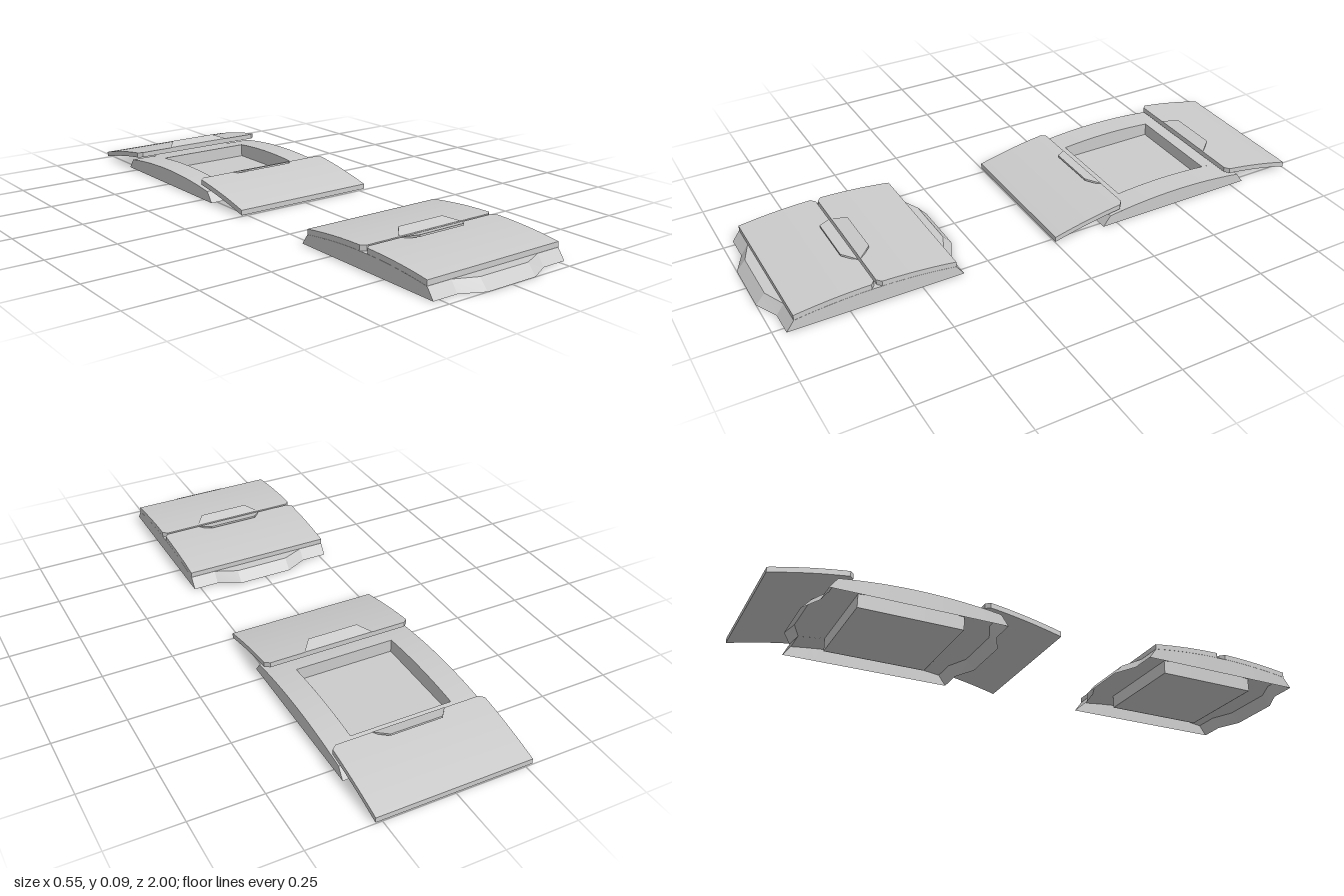
import * as THREE from 'three';
import { toCreasedNormals } from 'three/addons/utils/BufferGeometryUtils.js';

const W = 0.273;          // half width
const L = 0.278;          // half length of the curved deck
const T = 0.019;          // lid thickness
const TUB_X = 0.182, TUB_Z = 0.185;

const solid = new THREE.MeshStandardMaterial({ color: 0xcccccc });
const shell = new THREE.MeshStandardMaterial({ color: 0xcccccc, side: THREE.DoubleSide });

// Height of the arched deck at distance z from its middle
const arch = (z) => 0.057 - 0.02 * (z / L) ** 2;

function add(parent, name, geometry, material) {
  const mesh = new THREE.Mesh(toCreasedNormals(geometry, 0.3), material);
  mesh.name = name;
  parent.add(mesh);
  return mesh;
}

function moveVertices(geometry, rule) {
  const p = geometry.attributes.position;
  const v = new THREE.Vector3();
  for (let i = 0; i < p.count; i++) {
    rule(v.fromBufferAttribute(p, i));
    p.setXYZ(i, v.x, v.y, v.z);
  }
  return geometry;
}

// Arched strip of deck between two corners
function deckStrip(x0, x1, z0, z1) {
  const g = new THREE.PlaneGeometry(x1 - x0, z1 - z0, 1, 12).rotateX(-Math.PI / 2);
  g.translate((x0 + x1) / 2, 0, (z0 + z1) / 2);
  return moveVertices(g, (v) => { v.y = arch(v.z); });
}

// Upright wall at x, from y = 0 up to the deck, with feet spread to a given half length
function sideWall(x, top, foot) {
  const g = new THREE.PlaneGeometry(2, 1, 16, 1).rotateY(Math.PI / 2);
  return moveVertices(g, (v) => {
    const up = v.y > 0;
    v.x = x;
    v.z *= up ? top : foot;
    v.y = up ? arch(v.z) : 0;
  });
}

// Sloped end wall with a stepped bulge in the middle
function endWall() {
  const xs = [-W, -0.18, -0.1, 0.1, 0.18, W];
  const pos = [], idx = [];
  xs.forEach((x, i) => {
    const b = Math.abs(x) < 0.15 ? 1 : 0;
    pos.push(x, 0.037, L, x, 0.037, L + 0.035 * b, x, 0, 0.305 + 0.04 * b);
    if (i === 0) return;
    for (let k = 0; k < 2; k++) {
      const a = (i - 1) * 3 + k, c = i * 3 + k;
      idx.push(a, a + 1, c + 1, a, c + 1, c);
    }
  });
  const g = new THREE.BufferGeometry();
  g.setAttribute('position', new THREE.Float32BufferAttribute(pos, 3));
  g.setIndex(idx);
  g.computeVertexNormals();
  return g;
}

// Hollow base with a sunken square tub, open underneath
function makeBase() {
  const base = new THREE.Group();
  base.name = 'base';
  for (const s of [-1, 1]) {
    add(base, 'deckSide', deckStrip(Math.min(s * TUB_X, s * W), Math.max(s * TUB_X, s * W), -L, L), shell);
    add(base, 'deckEnd', deckStrip(-TUB_X, TUB_X, s > 0 ? TUB_Z : -L, s > 0 ? L : -TUB_Z), shell);
    add(base, 'sideWall', sideWall(s * W, L, 0.305), shell);
    add(base, 'tubSide', sideWall(s * TUB_X, TUB_Z, TUB_Z), shell);
    const h = arch(TUB_Z);
    const cross = new THREE.PlaneGeometry(2 * TUB_X, h).translate(0, h / 2, s * TUB_Z);
    add(base, 'tubEnd', cross, shell);
    add(base, 'endWall', endWall(), shell).rotation.y = s > 0 ? 0 : Math.PI;
  }
  const floor = new THREE.PlaneGeometry(2 * TUB_X, 2 * TUB_Z).rotateX(-Math.PI / 2);
  add(base, 'tubFloor', floor.translate(0, 0.001, 0), shell);
  return base;
}

// Sliding arched lid with clipped inner corners and a raised finger lip
function makeLid(slide, lift) {
  const lid = new THREE.Group();
  lid.name = 'lid';
  const start = 0.004 + slide, length = L - 0.004;
  const plate = new THREE.BoxGeometry(6, 1, 1, 3, 1, 10);
  moveVertices(plate, (v) => {
    const edge = Math.abs(v.x) > 2;
    const clip = edge && v.z < -0.49 ? 0.014 : 0;
    v.x = Math.sign(v.x) * (edge ? W : W - 0.016);
    v.z = start + (v.z + 0.5) * length + clip;
    v.y = arch(v.z) + lift + (v.y > 0 ? T : 0.0005);
  });
  add(lid, 'lidPlate', plate, solid);

  const outline = new THREE.Shape([[-0.13, 0], [0.13, 0], [0.093, 0.046], [-0.093, 0.046]]
    .map(([x, y]) => new THREE.Vector2(x, y)));
  const lip = new THREE.ExtrudeGeometry(outline, { depth: 0.007, bevelEnabled: false });
  lip.rotateX(Math.PI / 2);
  const top = arch(start) + lift + T + 0.001;
  moveVertices(lip, (v) => {
    v.y += top + v.z * 0.28;
    v.z += start;
  });
  add(lid, 'fingerLip', lip, solid);
  return lid;
}

function makeCase(name, z, slide, lift) {
  const box = new THREE.Group();
  box.name = name;
  box.add(makeBase());
  for (const turn of [0, Math.PI]) {
    const lid = makeLid(slide, lift);
    lid.rotation.y = turn;
    box.add(lid);
  }
  box.position.z = z;
  return box;
}

export function createModel() {
  const model = new THREE.Group();
  model.name = 'slidingLidCases';
  model.add(makeCase('closedCase', 0.655, 0, 0));
  model.add(makeCase('openCase', -0.5, 0.222, 0.011));
  return model;
}
